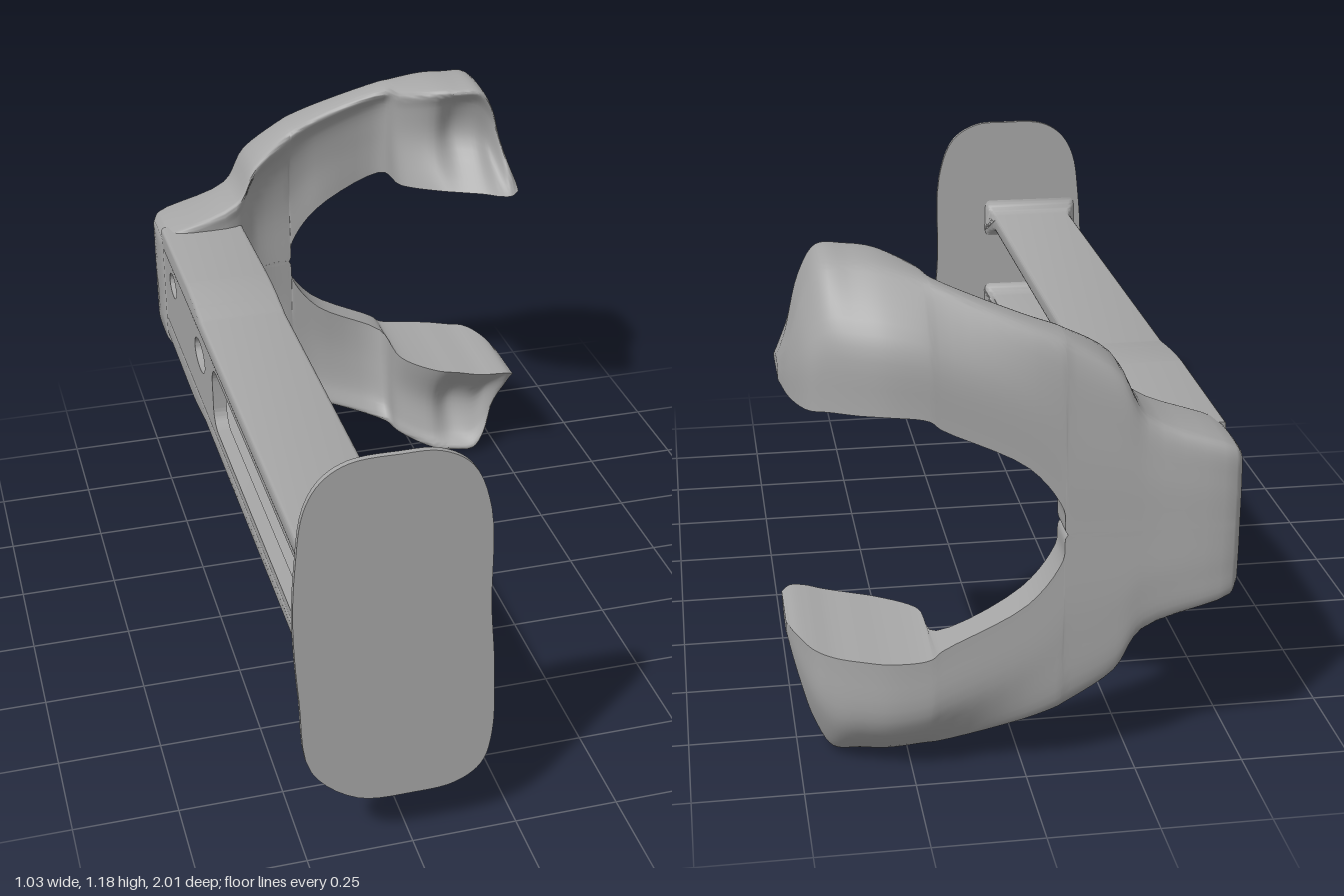
import * as THREE from 'three';
import { toCreasedNormals } from 'three/addons/utils/BufferGeometryUtils.js';

const MID = 0.59; // mirror height of the clamp
const RAIL_MID = 0.608; // mirror height of the rails
const material = new THREE.MeshStandardMaterial({ color: 0xa6a6a6 });

function addMesh(parent, name, geometry) {
  const mesh = new THREE.Mesh(geometry, material);
  mesh.name = name;
  parent.add(mesh);
  return mesh;
}

// Extrude a side profile drawn in (-z, y) across x from x0 to x1
function sideExtrude(shape, x0, x1, bevel) {
  const g = new THREE.ExtrudeGeometry(shape, {
    depth: x1 - x0 - 2 * bevel, bevelEnabled: bevel > 0, bevelSize: bevel,
    bevelThickness: bevel, bevelOffset: -bevel, bevelSegments: 3, curveSegments: 20,
  });
  return g.rotateY(Math.PI / 2).translate(x0 + bevel, 0, 0);
}

// Clamp sections: x, inner y, outer y, front z (inner, middle, outer), back z (inner, outer)
const stations = [
  [-0.473, MID, 0.75, -0.82, -0.82, -0.82, -0.98, -0.97],
  [-0.455, MID, 0.77, -0.80, -0.80, -0.80, -1, -0.99],
  [-0.26, MID, 0.85, -0.80, -0.80, -0.79, -1, -0.98],
  [-0.20, MID, 0.95, -0.88, -0.88, -0.80, -1, -0.98],
  [-0.085, MID, 1.025, -0.91, -0.91, -0.85, -1, -0.98],
  [-0.075, 0.65, 1.03, -0.91, -0.91, -0.85, -1, -0.98],
  [0.0, 0.75, 1.06, -0.91, -0.91, -0.86, -1, -0.97],
  [0.19, 0.85, 1.135, -0.90, -0.88, -0.82, -1, -0.91],
  [0.215, 0.87, 1.145, -0.74, -0.78, -0.76, -1, -0.90],
  [0.30, 0.88, 1.17, -0.65, -0.71, -0.68, -0.99, -0.87],
  [0.36, 0.88, 1.175, -0.62, -0.73, -0.66, -0.97, -0.85],
  [0.42, 0.88, 1.172, -0.59, -0.70, -0.65, -0.94, -0.84],
  [0.46, 0.875, 1.11, -0.575, -0.68, -0.66, -0.91, -0.82],
  [0.495, 0.875, 0.99, -0.57, -0.60, -0.70, -0.83, -0.80],
  [0.515, 0.885, 0.92, -0.58, -0.60, -0.68, -0.74, -0.72],
];

// Section curve: up the front face, over the rim, down the back
function clampSection([x, yIn, yOut, lip, mid, rim, backIn, backOut]) {
  const mix = THREE.MathUtils.lerp;
  const corners = [
    [0, lip], [0.45, mid], [0.8, mix(mid, rim, 0.4)], [0.96, rim], [1, mix(rim, backOut, 0.18)],
    [1, mix(rim, backOut, 0.82)], [0.95, backOut], [0.55, mix(backIn, backOut, 0.1)], [0, backIn],
  ];
  return new THREE.CatmullRomCurve3(
    corners.map(([v, z]) => new THREE.Vector3(x, mix(yIn, yOut, v) - MID, z)));
}

function clampHalf() {
  const around = 45, rows = (stations.length - 1) * 5;
  const rings = stations.map((s) => clampSection(s).getPoints(around - 1));
  // Smooth each lengthwise line through the sections
  const lines = Array.from({ length: around }, (_, j) =>
    new THREE.CatmullRomCurve3(rings.map((r) => r[j])).getPoints(rows));
  const pos = [], index = [];
  for (let i = 0; i <= rows; i++) {
    for (const line of lines) pos.push(...line[i].toArray());
  }
  for (let i = 0; i < rows; i++) {
    for (let j = 0; j < around; j++) {
      const k = (j + 1) % around;
      const a = i * around + j, b = a + around, c = i * around + k, d = c + around;
      index.push(a, b, c, b, d, c);
    }
  }
  // End caps
  for (const i of [0, rows]) {
    const centre = new THREE.Vector3();
    lines.forEach((l) => centre.addScaledVector(l[i], 1 / around));
    const n = pos.length / 3;
    pos.push(...centre.toArray());
    for (let j = 0; j < around; j++) {
      const a = i * around + j, b = i * around + (j + 1) % around;
      if (i === 0) index.push(n, a, b); else index.push(n, b, a);
    }
  }
  const g = new THREE.BufferGeometry();
  g.setAttribute('position', new THREE.Float32BufferAttribute(pos, 3));
  g.setIndex(index);
  return toCreasedNormals(g, 1);
}

// Rail: a flat bar, deeper toward the clamp and flared at the plate
function railGeometry() {
  const s = new THREE.Shape();
  s.moveTo(-0.99, 0.07);
  s.quadraticCurveTo(-0.975, 0.103, -0.93, 0.103);
  s.lineTo(0.85, 0.103);
  s.lineTo(0.85, 0.165);
  s.lineTo(0.46, 0.17);
  s.quadraticCurveTo(0.38, 0.17, 0.25, 0.15);
  s.lineTo(-0.93, 0.15);
  s.quadraticCurveTo(-0.98, 0.153, -0.99, 0.2);
  const g = sideExtrude(s, -0.472, -0.242, 0.01);
  const p = g.attributes.position;
  for (let i = 0; i < p.count; i++) {
    const t = Math.max(0, (p.getZ(i) - 0.93) / 0.06);
    p.setX(i, -0.357 + (p.getX(i) + 0.357) * (1 + 0.22 * t * t));
  }
  return toCreasedNormals(g, 0.7);
}

// Web: thin wall on the outer side, with one long slot and two holes
function webGeometry() {
  const s = new THREE.Shape();
  s.moveTo(-0.99, 0.47);
  s.lineTo(0.85, 0.47);
  s.lineTo(0.85, 0.745);
  s.lineTo(-0.99, 0.745);
  const slot = new THREE.Path();
  const r = 0.05;
  [[0.07, 0.65], [-0.925, 0.65], [-0.925, 0.575], [0.07, 0.575]].forEach(([u, y], i) =>
    slot.absarc(u, y, r, i * Math.PI / 2, (i + 1) * Math.PI / 2, false));
  slot.closePath();
  s.holes.push(slot);
  for (const [u, y, a, b] of [[0.295, 0.64, 0.07, 0.042], [0.69, 0.662, 0.05, 0.033]]) {
    s.holes.push(new THREE.Path().absellipse(u, y, a, b, 0, Math.PI * 2, true));
  }
  return toCreasedNormals(sideExtrude(s, -0.47, -0.435, 0), 0.7);
}

// Plate: thin rounded pad at the front
function plateGeometry() {
  const outline = [
    [-0.39, 1.03], [-0.28, 1.036], [-0.19, 1.03], [-0.12, 0.985], [-0.078, 0.87], [-0.073, 0.62],
    [-0.063, 0.46], [-0.065, 0.27], [-0.09, 0.19], [-0.15, 0.15], [-0.25, 0.142], [-0.38, 0.155],
    [-0.485, 0.25], [-0.508, 0.45], [-0.517, 0.65], [-0.508, 0.8], [-0.488, 0.93], [-0.45, 0.995],
  ].map(([x, y]) => new THREE.Vector3(x, y, 0));
  const pts = new THREE.CatmullRomCurve3(outline, true).getPoints(90).slice(0, -1);
  const g = new THREE.ExtrudeGeometry(
    new THREE.Shape(pts.map((p) => new THREE.Vector2(p.x, p.y))),
    { depth: 0.014, bevelEnabled: false });
  return toCreasedNormals(g.translate(0, 0, 0.986), 0.7);
}

export function createModel() {
  const model = new THREE.Group();
  addMesh(model, 'frontPlate', plateGeometry());
  addMesh(model, 'web', webGeometry());

  // Upper and lower parts mirror each other
  const arm = clampHalf(), rail = railGeometry();
  for (const [side, sign] of [['upper', 1], ['lower', -1]]) {
    for (const [part, geometry, y] of [['HookArm', arm, MID], ['Rail', rail, RAIL_MID]]) {
      const mesh = addMesh(model, side + part, geometry);
      mesh.position.y = y;
      mesh.scale.y = sign;
    }
  }
  return model;
}
